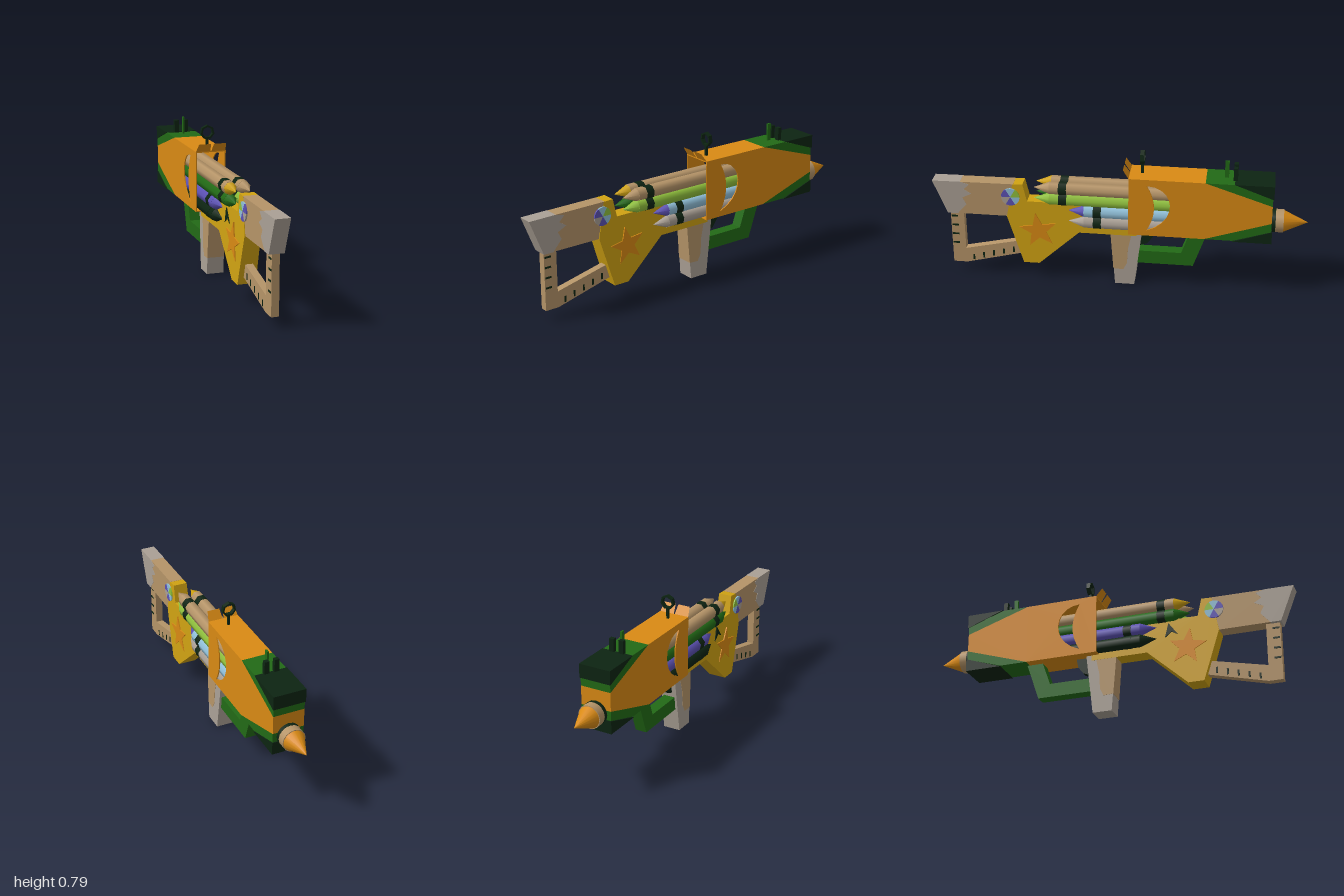
import * as THREE from 'three';

const mat = (name, color) => {
  const m = new THREE.MeshStandardMaterial({ color, side: THREE.DoubleSide });
  m.name = name;
  return m;
};

export function createModel() {
  const orange = mat('orange', 0xd98a14), yellow = mat('yellow', 0xd0a212);
  const green = mat('green', 0x226a16), dark = mat('darkGreen', 0x0d2412);
  const tan = mat('tan', 0xb59468), grey = mat('grey', 0xaaa095);
  const lime = mat('lightGreen', 0x8fbf3c), purple = mat('purple', 0x5c51b4);
  const blue = mat('lightBlue', 0x90bfd8);

  const model = new THREE.Group();
  const add = (name, geo, material, x = 0, y = 0, z = 0) => {
    const m = new THREE.Mesh(geo, material);
    m.name = name;
    m.position.set(x, y, z);
    model.add(m);
    return m;
  };
  const shapeOf = (pts) => new THREE.Shape(pts.map((p) => new THREE.Vector2(p[0], p[1])));
  // side profile in (z, y), given thickness across x
  const slabGeo = (shape, half) => new THREE.ExtrudeGeometry(shape, { depth: half * 2, bevelEnabled: false, curveSegments: 10 })
    .translate(0, 0, -half).rotateY(-Math.PI / 2);
  const slab = (name, pts, half, material, x = 0) => add(name, slabGeo(shapeOf(pts), half), material, x);
  const box = (name, w, h, d, material, x, y, z) => add(name, new THREE.BoxGeometry(w, h, d), material, x, y, z);
  // widens a slab linearly with height
  const taper = (mesh, y0, s0, y1, s1) => {
    const p = mesh.geometry.attributes.position;
    for (let i = 0; i < p.count; i++) {
      p.setX(i, p.getX(i) * THREE.MathUtils.mapLinear(p.getY(i), y0, y1, s0, s1));
    }
    mesh.geometry.computeVertexNormals();
  };

  // hollow rear housing with crescent windows
  for (const s of [-1, 1]) {
    const wall = shapeOf([[-0.06, 0.33], [-0.06, 0.66], [-0.46, 0.66], [-0.46, 0.33]]);
    const hole = new THREE.Path();
    hole.moveTo(-0.155, 0.625);
    hole.bezierCurveTo(-0.31, 0.625, -0.33, 0.42, -0.155, 0.36);
    hole.quadraticCurveTo(-0.235, 0.49, -0.155, 0.625);
    wall.holes.push(hole);
    add('housingSide', slabGeo(wall, 0.003), orange, s * 0.081);
    // raised flap at the rear edge
    const flap = new THREE.BufferGeometry();
    flap.setAttribute('position', new THREE.Float32BufferAttribute([
      s * 0.003, 0.66, -0.06, s * 0.083, 0.66, -0.06, s * 0.075, 0.705, -0.03, s * 0.008, 0.705, -0.03], 3));
    flap.setIndex(s > 0 ? [0, 1, 2, 0, 2, 3] : [0, 2, 1, 0, 3, 2]);
    flap.computeVertexNormals();
    add('rearFlap', flap, orange);
  }
  box('housingTop', 0.168, 0.006, 0.4, orange, 0, 0.657, -0.26);
  box('housingBottom', 0.168, 0.006, 0.4, orange, 0, 0.333, -0.26);
  box('innerWall', 0.16, 0.325, 0.006, orange, 0, 0.495, -0.455);

  // solid nose with slanted colour bands
  slab('nose', [[-0.46, 0.33], [-0.46, 0.66], [-0.81, 0.545], [-0.81, 0.445]], 0.084, orange);
  slab('upperBand', [[-0.46, 0.66], [-0.61, 0.66], [-0.81, 0.59], [-0.81, 0.545]], 0.084, green);
  slab('lowerBand', [[-0.46, 0.33], [-0.61, 0.33], [-0.81, 0.395], [-0.81, 0.445]], 0.084, green);
  slab('upperCorner', [[-0.61, 0.662], [-0.815, 0.662], [-0.815, 0.588], [-0.81, 0.588]], 0.0875, dark);
  slab('lowerCorner', [[-0.61, 0.326], [-0.815, 0.326], [-0.815, 0.395], [-0.81, 0.395]], 0.0875, dark);

  // pencil along z: body, dark band and pointed tip towards dir
  const rod = (name, r0, r1, z0, z1, sides, material, x, y) => {
    const g = new THREE.CylinderGeometry(r1, r0, z1 - z0, sides).rotateX(Math.PI / 2);
    return add(name, g, material, x, y, (z0 + z1) / 2);
  };
  const rows = [
    { y: 0.557, x: 0.037, tip: 0.45, right: [tan, tan], left: [tan, yellow] },
    { y: 0.495, x: 0.037, tip: 0.45, right: [lime, lime], left: [green, green] },
    { y: 0.435, x: 0.045, tip: 0.265, right: [blue, purple], left: [purple, purple] },
    { y: 0.371, x: 0.045, tip: 0.265, right: [grey, grey], left: [dark, dark] },
  ];
  for (const r of rows) {
    for (const [s, [body, point]] of [[1, r.right], [-1, r.left]]) {
      const base = r.tip - 0.085;
      rod('crayon', 0.035, 0.035, -0.44, base, 7, body, s * r.x, r.y);
      rod('crayonTip', 0.034, 0, base, r.tip, 7, point, s * r.x, r.y);
      rod('crayonBand', 0.0365, 0.0365, base - 0.093, base - 0.05, 7, dark, s * r.x, r.y);
    }
  }

  // muzzle
  rod('muzzleCollar', 0.063, 0.063, -0.83, -0.8, 16, dark, 0, 0.422);
  rod('muzzleBarrel', 0.062, 0.062, -0.872, -0.82, 16, tan, 0, 0.422);
  rod('muzzleCone', 0, 0.06, -1, -0.868, 16, orange, 0, 0.422);

  // yellow frame, slightly wider towards the bottom
  const frame = slab('frame', [[0.565, 0.565], [0.51, 0.568], [0.488, 0.47], [-0.1, 0.47], [-0.1, 0.3],
    [0.21, 0.3], [0.43, 0.097], [0.515, 0.097], [0.6, 0.372]], 0.042, yellow);
  taper(frame, 0.1, 1.17, 0.47, 0.97);

  // shoulder stock
  slab('stock', [[0.88, 0.563], [0.56, 0.566], [0.6, 0.373], [0.88, 0.373]], 0.0385, tan);
  slab('stockEnd', [[1, 0.562], [0.85, 0.564], [0.8, 0.55], [0.83, 0.52], [0.79, 0.495], [0.84, 0.47],
    [0.82, 0.43], [0.87, 0.372], [0.925, 0.372]], 0.04, grey);
  slab('stockBrace', [[0.915, 0.38], [0.915, 0.058], [0.84, 0.058], [0.52, 0.14], [0.535, 0.215],
    [0.842, 0.145], [0.842, 0.38]], 0.02, tan);
  for (const s of [-1, 1]) {
    // ruler ticks
    for (let i = 0; i < 4; i++) box('rulerTick', 0.004, 0.01, 0.035, dark, s * 0.02, 0.18 + i * 0.055, 0.893);
    for (let i = 0; i < 5; i++) box('rulerTick', 0.004, 0.033, 0.01, dark, s * 0.02, 0.093 + i * 0.016, 0.8 - i * 0.056);

    // star badge
    const star = [];
    for (let i = 0; i < 10; i++) {
      const a = Math.PI / 2 + 0.15 + i * Math.PI / 5, r = i % 2 ? 0.043 : 0.105;
      star.push([0.43 - r * Math.cos(a), 0.3 + r * Math.sin(a)]);
    }
    slab('star', star, 0.004, orange, s * 0.0455);

    // round sticker with coloured sectors
    [purple, blue, lime, blue, purple, grey].forEach((m, i) => {
      const g = new THREE.CylinderGeometry(0.05, 0.05, 0.008, 4, 1, false, i * Math.PI / 3, Math.PI / 3);
      add('sticker', g.rotateZ(Math.PI / 2), m, s * 0.0425, 0.492, 0.577);
    });
  }
  slab('sideMark', [[0.33, 0.45], [0.38, 0.38], [0.345, 0.4], [0.31, 0.37]], 0.003, dark, -0.044);

  // grip, wider at its foot
  const grip = slab('grip', [[0.04, 0.335], [0.015, 0], [-0.09, 0], [-0.13, 0.335]], 0.042, grey);
  const patch = slab('gripPatch', [[0.042, 0.334], [0.024, 0.093], [-0.03, 0.09], [-0.05, 0.13], [-0.055, 0.22], [-0.08, 0.334]], 0.0435, tan);
  for (const m of [grip, patch]) taper(m, 0, 1.14, 0.33, 1);

  // trigger and guard
  slab('trigger', [[-0.12, 0.335], [-0.195, 0.335], [-0.185, 0.285], [-0.155, 0.245], [-0.115, 0.23]], 0.018, dark);
  slab('triggerGuard', [[-0.1, 0.205], [-0.1, 0.13], [-0.405, 0.13], [-0.475, 0.335], [-0.385, 0.335], [-0.34, 0.205]], 0.032, green);

  // rear ring sight and front posts
  box('sightStem', 0.012, 0.065, 0.014, dark, 0, 0.687, -0.125);
  const ring = new THREE.Shape(), ringHole = new THREE.Path();
  for (let i = 0; i < 7; i++) {
    const a = Math.PI / 2 + i * Math.PI * 2 / 7, c = Math.cos(a), d = Math.sin(a);
    ring[i ? 'lineTo' : 'moveTo'](c * 0.039, d * 0.039);
    ringHole[i ? 'lineTo' : 'moveTo'](c * 0.029, d * 0.029);
  }
  ring.holes.push(ringHole);
  add('ringSight', new THREE.ExtrudeGeometry(ring, { depth: 0.022, bevelEnabled: false }), dark, 0, 0.751, -0.136);
  box('frontPost', 0.01, 0.1, 0.022, green, 0, 0.705, -0.565);
  for (const s of [-1, 1]) box('frontSightBlock', 0.026, 0.075, 0.022, dark, s * 0.027, 0.693, -0.612);

  return model;
}
